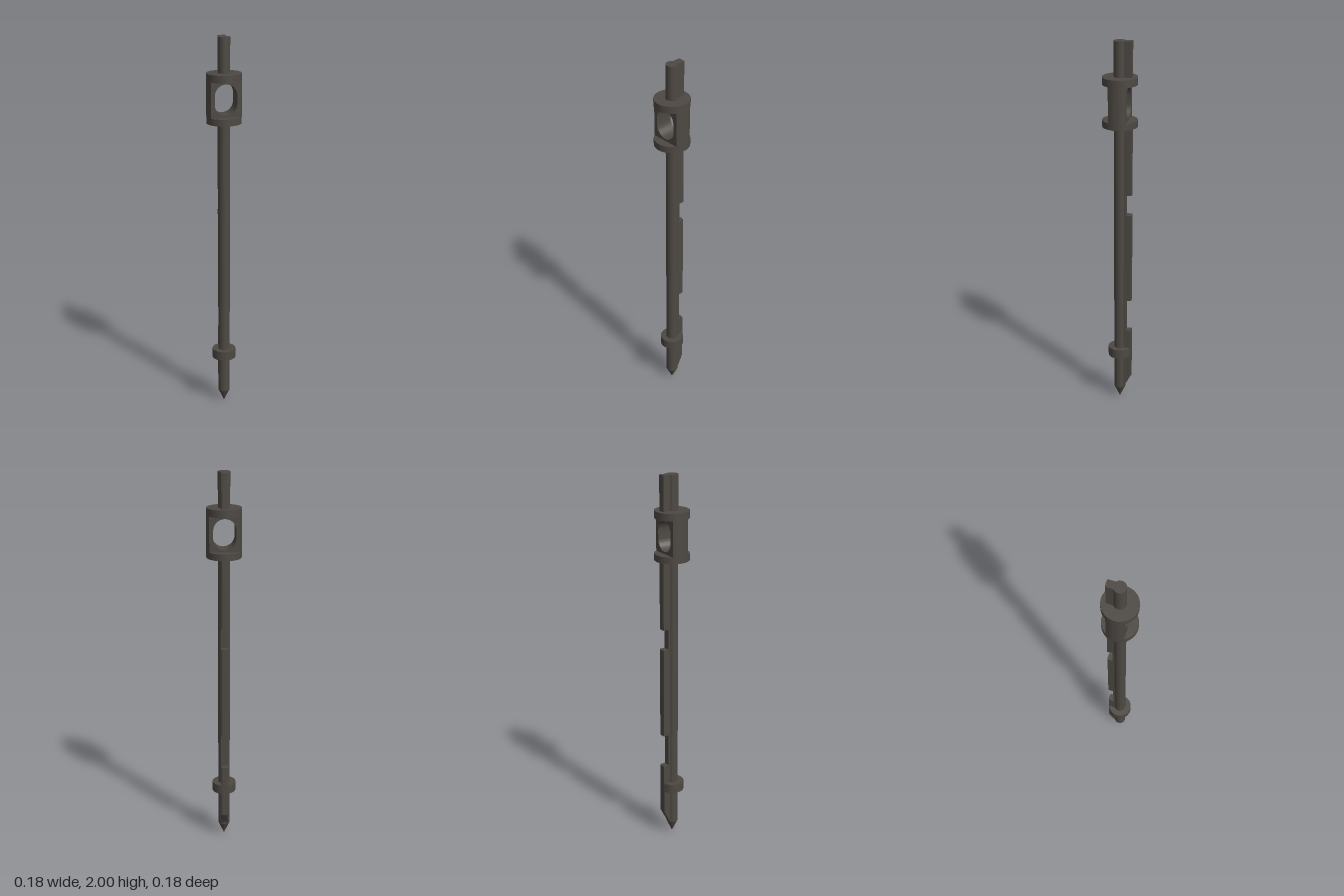
import * as THREE from 'three';
import { toCreasedNormals } from 'three/addons/utils/BufferGeometryUtils.js';

const ROD_R = 0.031, FIN_R = 0.065, FIN_HALF = 0.019, HEAD_R = 0.09;
const TIP_SLOPE = 0.14 / FIN_R; // height gained per unit of radius at the point

export function createModel() {
  const group = new THREE.Group();
  const material = new THREE.MeshStandardMaterial({ color: 0x4d4843 });

  const add = (name, geometry) => {
    const mesh = new THREE.Mesh(geometry, material);
    mesh.name = name;
    group.add(mesh);
  };
  // Upright cylinder between two heights
  const disc = (name, radius, y0, y1, bottomRadius = radius) => {
    const g = new THREE.CylinderGeometry(radius, bottomRadius, y1 - y0, 64);
    add(name, g.translate(0, (y0 + y1) / 2, 0));
  };

  // Round rod, interrupted by the open head, with a conical point
  const tipTop = ROD_R * TIP_SLOPE;
  disc('point', ROD_R, 0, tipTop, 0);
  disc('rod', ROD_R, tipTop, 1.58);
  disc('upperRod', ROD_R, 1.8, 2);

  // Fin along the back of the rod, with a rounded outer edge
  const angle = Math.acos(FIN_HALF / FIN_R);
  const finShape = new THREE.Shape();
  finShape.moveTo(-FIN_HALF, 0.02);
  finShape.lineTo(FIN_HALF, 0.02);
  finShape.absarc(0, 0, FIN_R, angle, Math.PI - angle, false);
  finShape.closePath();
  const fin = (name, y0, y1, pointed = false) => {
    const g = new THREE.ExtrudeGeometry(finShape, { depth: y1 - y0, bevelEnabled: false, curveSegments: 8 });
    g.rotateX(-Math.PI / 2).translate(0, y0, 0);
    if (pointed) {
      // Lower end follows the cone of the point
      const p = g.attributes.position;
      for (let i = 0; i < p.count; i++) {
        if (p.getY(i) < y0 + 1e-4) p.setY(i, Math.hypot(p.getX(i), p.getZ(i)) * TIP_SLOPE);
      }
    }
    add(name, toCreasedNormals(g, 0.5));
  };
  fin('lowerFin', 0.14, 0.42, true);
  fin('middleFin', 0.6, 1.09);
  fin('upperFin', 1.2, 1.58);
  fin('topFin', 1.8, 2);

  // Shallow floors of the two notches in the fin
  for (const [y0, y1] of [[0.42, 0.6], [1.09, 1.2]]) {
    const g = new THREE.BoxGeometry(FIN_HALF * 2, y1 - y0, 0.014);
    add('notchFloor', g.translate(0, (y0 + y1) / 2, -0.027));
  }

  // Lower collar and the two flanges of the head
  disc('collar', 0.062, 0.265, 0.315);
  disc('lowerFlange', HEAD_R, 1.565, 1.6);
  disc('upperFlange', HEAD_R, 1.782, 1.82);

  // Head: flat front and back, round sides, slotted window through it
  const w = 0.058, half = 0.045;
  const body = new THREE.Shape();
  body.moveTo(-HEAD_R, 1.6);
  body.lineTo(HEAD_R, 1.6);
  body.lineTo(HEAD_R, 1.782);
  body.lineTo(-HEAD_R, 1.782);
  body.closePath();
  const slot = new THREE.Path();
  slot.absarc(0, 1.711, w, 0, Math.PI, false);
  slot.absarc(0, 1.669, w, Math.PI, Math.PI * 2, false);
  slot.closePath();
  body.holes.push(slot);
  const head = new THREE.ExtrudeGeometry(body, { depth: half * 2, steps: 12, bevelEnabled: false, curveSegments: 24 });
  head.translate(0, 0, -half);
  const p = head.attributes.position;
  for (let i = 0; i < p.count; i++) {
    const x = p.getX(i), z = p.getZ(i);
    if (Math.abs(x) > HEAD_R - 0.001) p.setX(i, Math.sign(x) * Math.sqrt(HEAD_R * HEAD_R - z * z));
  }
  add('head', toCreasedNormals(head, 0.5));

  return group;
}
